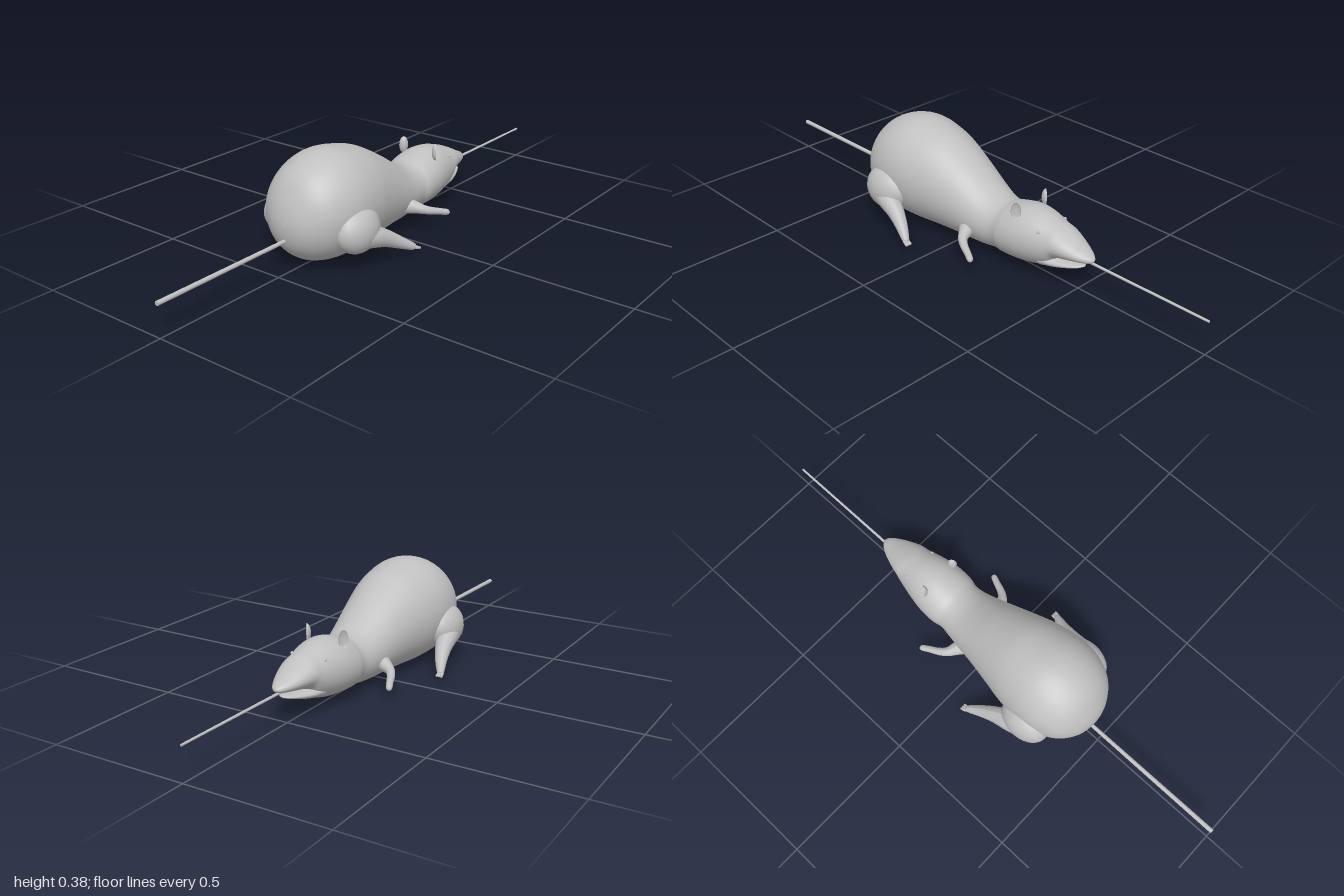
import * as THREE from 'three';

const fur = new THREE.MeshStandardMaterial({ color: 0xc0c0c0 });
fur.name = 'light grey';
const V = (x, y, z) => new THREE.Vector3(x, y, z);

function mesh(name, geometry) {
  const m = new THREE.Mesh(geometry, fur);
  m.name = name;
  return m;
}

// Oval cross-sections along z; each key is [z, top, bottom, half width], going towards -z.
function loft(keys, steps, sides = 40) {
  const profile = new THREE.CatmullRomCurve3(keys.map(k => V(k[0], k[1], k[2])), false, 'catmullrom');
  const widths = new THREE.CatmullRomCurve3(keys.map(k => V(k[3], 0, 0)), false, 'catmullrom');
  const pos = [], index = [];
  for (let i = 0; i <= steps; i++) {
    const p = profile.getPoint(i / steps);
    const w = Math.max(0, widths.getPoint(i / steps).x);
    const mid = (p.y + p.z) / 2, h = Math.max(0, (p.y - p.z) / 2);
    for (let j = 0; j < sides; j++) {
      const a = (j / sides) * Math.PI * 2;
      pos.push(w * Math.cos(a), mid + h * Math.sin(a), p.x);
      if (i === steps) continue;
      const n = (j + 1) % sides;
      const A = i * sides + j, B = i * sides + n, C = A + sides, D = B + sides;
      index.push(A, C, B, B, C, D);
    }
  }
  const g = new THREE.BufferGeometry();
  g.setAttribute('position', new THREE.Float32BufferAttribute(pos, 3));
  g.setIndex(index);
  g.computeVertexNormals();
  return g;
}

// Tapered tube; each key is [x, y, z, radius], mirrored by side.
function limb(keys, side, steps = 28, sides = 16) {
  const path = new THREE.CatmullRomCurve3(keys.map(k => V(k[0] * side, k[1], k[2])), false, 'catmullrom');
  path.getPointAt = path.getPoint;
  path.getTangentAt = path.getTangent;
  const radii = new THREE.CatmullRomCurve3(keys.map(k => V(k[3], 0, 0)), false, 'catmullrom');
  const g = new THREE.TubeGeometry(path, steps, 1, sides, false);
  const p = g.attributes.position, v = V();
  for (let i = 0; i < p.count; i++) {
    const t = Math.floor(i / (sides + 1)) / steps;
    const c = path.getPoint(t), r = Math.max(0, radii.getPoint(t).x);
    v.fromBufferAttribute(p, i).sub(c).multiplyScalar(r).add(c);
    p.setXYZ(i, v.x, v.y, v.z);
  }
  g.computeVertexNormals();
  return g;
}

function ellipsoid(rx, ry, rz) {
  return new THREE.SphereGeometry(1, 24, 16).scale(rx, ry, rz);
}

export function createModel() {
  const model = new THREE.Group();
  model.name = 'spitRoastRodent';

  // Rump, belly, neck, head and upper snout
  model.add(mesh('body', loft([
    [0.470, 0.165, 0.165, 0], [0.465, 0.205, 0.125, 0.040], [0.45, 0.25, 0.085, 0.080],
    [0.42, 0.305, 0.05, 0.122], [0.38, 0.342, 0.024, 0.152], [0.32, 0.37, 0.007, 0.173],
    [0.25, 0.38, 0.002, 0.178], [0.17, 0.367, 0.003, 0.169], [0.10, 0.345, 0.007, 0.153],
    [0.00, 0.290, 0.012, 0.130], [-0.07, 0.245, 0.014, 0.116], [-0.13, 0.213, 0.018, 0.104],
    [-0.18, 0.205, 0.025, 0.097], [-0.22, 0.216, 0.024, 0.105], [-0.28, 0.230, 0.027, 0.104],
    [-0.34, 0.228, 0.036, 0.093], [-0.40, 0.211, 0.058, 0.078], [-0.43, 0.200, 0.094, 0.071],
    [-0.47, 0.182, 0.105, 0.059], [-0.51, 0.162, 0.112, 0.043], [-0.54, 0.148, 0.117, 0.026],
    [-0.555, 0.138, 0.123, 0.012], [-0.56, 0.130, 0.130, 0],
  ], 110, 48)));

  // Lower jaw, leaving a thin open mouth
  model.add(mesh('lowerJaw', loft([
    [-0.34, 0.11, 0.09, 0], [-0.36, 0.115, 0.048, 0.060], [-0.40, 0.108, 0.056, 0.064],
    [-0.44, 0.102, 0.066, 0.054], [-0.48, 0.100, 0.078, 0.039], [-0.51, 0.100, 0.088, 0.022],
    [-0.525, 0.096, 0.096, 0],
  ], 36, 28)));

  // Slightly tapered skewer through the whole body
  const rod = mesh('skewer', new THREE.CylinderGeometry(0.008, 0.004, 2, 16).rotateX(Math.PI / 2));
  rod.position.set(-0.003, 0.1165, 0);
  rod.rotation.x = 0.003;
  model.add(rod);

  for (const side of [1, -1]) {
    const name = side > 0 ? 'left' : 'right';

    // Hind leg: round thigh, shank and long foot with toes
    const hind = new THREE.Group();
    hind.name = name + 'HindLeg';
    const thigh = mesh('thigh', ellipsoid(0.064, 0.080, 0.095));
    thigh.position.set(side * 0.152, 0.137, 0.283);
    thigh.rotation.z = side * 0.15;
    hind.add(thigh);
    hind.add(mesh('foot', limb([
      [0.150, 0.120, 0.33, 0], [0.161, 0.117, 0.30, 0.042], [0.180, 0.108, 0.25, 0.040],
      [0.197, 0.085, 0.19, 0.030], [0.215, 0.058, 0.14, 0.022], [0.234, 0.036, 0.10, 0.015],
      [0.241, 0.029, 0.085, 0.010], [0.243, 0.027, 0.082, 0],
    ], side)));
    for (const k of [-1, 0, 1]) {
      hind.add(mesh('toe', limb([
        [0.236 + k * 0.004, 0.035, 0.10, 0.006], [0.242 + k * 0.007, 0.027, 0.083, 0.006],
        [0.244 + k * 0.009, 0.022, 0.068, 0.004], [0.244 + k * 0.009, 0.021, 0.066, 0],
      ], side, 9, 8)));
    }
    model.add(hind);

    // Foreleg bent forwards at the elbow
    model.add(mesh(name + 'Foreleg', limb([
      [0.075, 0.094, -0.06, 0.034], [0.112, 0.088, -0.082, 0.025], [0.143, 0.080, -0.10, 0.017],
      [0.162, 0.071, -0.125, 0.014], [0.178, 0.061, -0.16, 0.012], [0.192, 0.053, -0.188, 0.010],
      [0.195, 0.052, -0.195, 0],
    ], side)));

    // Small cupped ear, hollowed on its outer side
    const earShape = ellipsoid(0.017, 0.032, 0.015);
    const p = earShape.attributes.position;
    for (let i = 0; i < p.count; i++) {
      if (p.getZ(i) < 0) p.setZ(i, p.getZ(i) * -0.4);
    }
    earShape.computeVertexNormals();
    const ear = mesh(name + 'Ear', earShape);
    ear.position.set(side * 0.073, 0.229, -0.28);
    ear.rotation.y = side * -0.9;
    model.add(ear);

    // Eye
    const eye = mesh(name + 'Eye', ellipsoid(0.005, 0.006, 0.007));
    eye.position.set(side * 0.065, 0.187, -0.375);
    model.add(eye);
  }
  return model;
}
